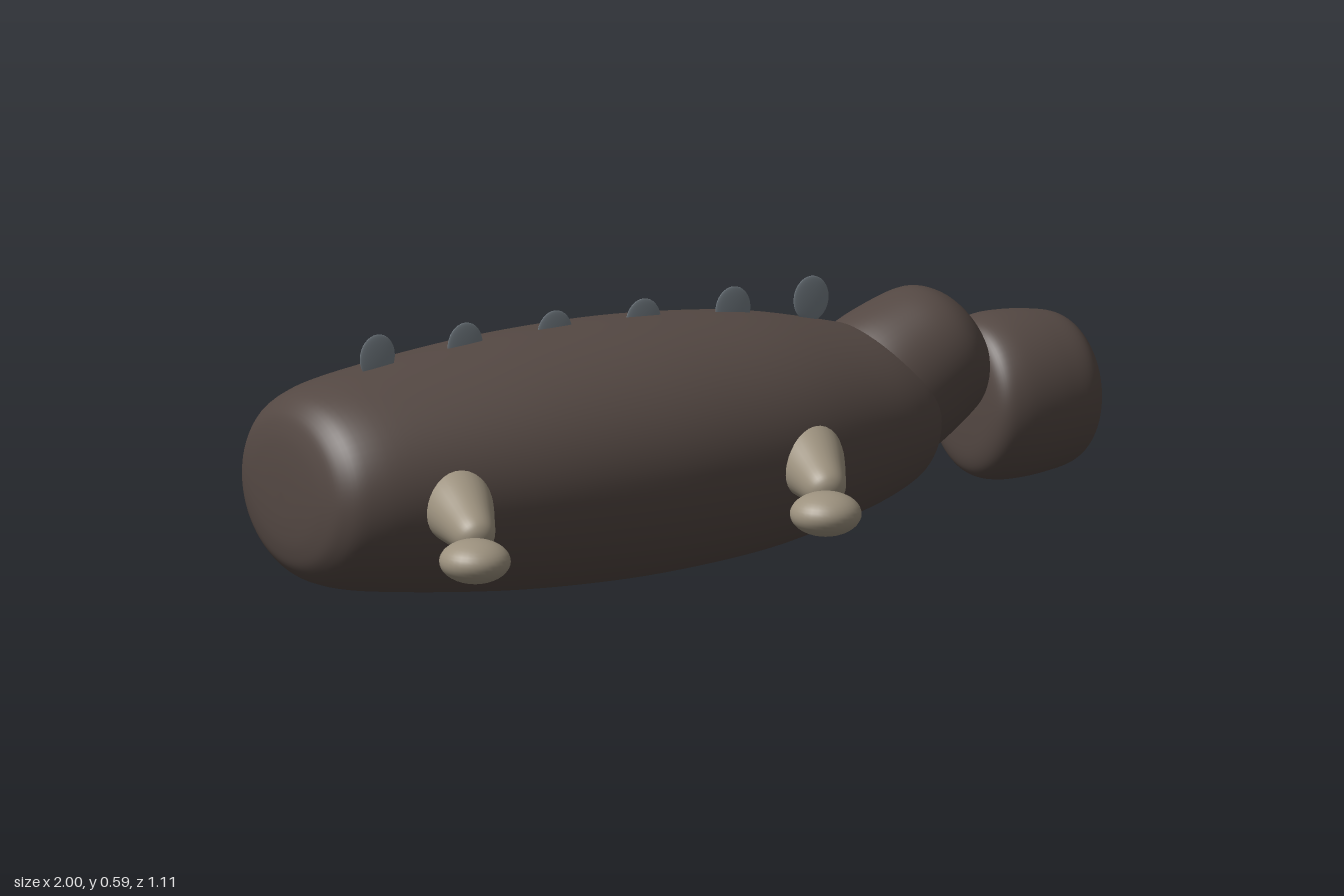
import * as THREE from 'three';

const material = (color) => new THREE.MeshStandardMaterial({ color });
const UP = new THREE.Vector3(0, 1, 0);

// Smooth round solid along local y from a few [height, radius] points
function roundSolid(profile, segments = 64) {
  const curve = new THREE.SplineCurve(profile.map(([h, r]) => new THREE.Vector2(r, h)));
  const points = curve.getPoints(profile.length * 5);
  points.forEach((p) => { p.x = Math.max(0, p.x); });
  return new THREE.LatheGeometry(points, segments);
}

export function createModel() {
  const model = new THREE.Group();
  const hide = material(0x544843);
  const limb = material(0x9c917e);
  const plate = material(0x747d84);

  function add(parent, name, geometry, mat, x, y, z) {
    const mesh = new THREE.Mesh(geometry, mat);
    mesh.name = name;
    mesh.position.set(x, y, z);
    parent.add(mesh);
    return mesh;
  }

  // Long barrel body, wider than tall
  const body = add(model, 'body', roundSolid([
    [-1, 0], [-0.998, 0.07], [-0.99, 0.13], [-0.97, 0.175], [-0.92, 0.21], [-0.8, 0.237],
    [-0.5, 0.27], [-0.22, 0.28], [0, 0.272], [0.2, 0.25], [0.4, 0.205], [0.5, 0.172],
    [0.55, 0.143], [0.575, 0.105], [0.585, 0.05], [0.587, 0],
  ]), hide, 0, 0.285, 0);
  body.rotation.z = -Math.PI / 2;
  body.scale.z = 1.2;

  // Neck tilted upwards out of the body
  const neck = add(model, 'neck', roundSolid([
    [-0.2, 0], [-0.19, 0.09], [-0.15, 0.15], [-0.06, 0.171], [0.04, 0.165],
    [0.12, 0.147], [0.165, 0.108], [0.188, 0.055], [0.193, 0],
  ]), hide, 0.55, 0.36, 0);
  neck.rotation.z = -Math.PI / 2 + 0.49;

  // Blunt head
  const head = add(model, 'head', roundSolid([
    [0.7, 0], [0.701, 0.07], [0.707, 0.13], [0.725, 0.163], [0.76, 0.178], [0.81, 0.182],
    [0.88, 0.177], [0.945, 0.163], [0.98, 0.13], [0.995, 0.08], [1, 0],
  ]), hide, 0, 0.285, 0);
  head.rotation.z = -Math.PI / 2;

  // Four splayed legs: each pair is one leg and its half-turn copy
  const hip = new THREE.Vector3(-0.015, 0.288, 0.22);
  const ankle = new THREE.Vector3(-0.078, 0.232, 0.445);
  const direction = ankle.clone().sub(hip);
  const length = direction.length();
  direction.normalize();
  const legGeometry = roundSolid([
    [-0.06, 0], [-0.045, 0.05], [0, 0.079], [length * 0.3, 0.077], [length * 0.65, 0.058],
    [length * 0.88, 0.043], [length * 0.97, 0.025], [length, 0],
  ], 32);
  const footGeometry = new THREE.SphereGeometry(0.077, 32, 20).scale(1, 0.62, 1);
  for (const [pair, x] of [['front', 0.183], ['rear', -0.697]]) {
    for (const side of ['Left', 'Right']) {
      const group = new THREE.Group();
      group.name = pair + side + 'Leg';
      group.position.x = x;
      group.rotation.y = side === 'Left' ? Math.PI : 0;
      const leg = add(group, 'leg', legGeometry, limb, hip.x, hip.y, hip.z);
      leg.quaternion.setFromUnitVectors(UP, direction);
      add(group, 'foot', footGeometry, limb, -0.108, 0.202, 0.477);
      model.add(group);
    }
  }

  // Row of thin rounded plates along the back
  const plateGeometry = new THREE.SphereGeometry(1, 24, 16).scale(0.044, 0.05, 0.004);
  [-0.755, -0.535, -0.31, -0.088, 0.137, 0.333].forEach((x, i) => {
    add(model, 'backPlate' + (i + 1), plateGeometry, plate, x, 0.55, -0.006);
  });

  return model;
}
